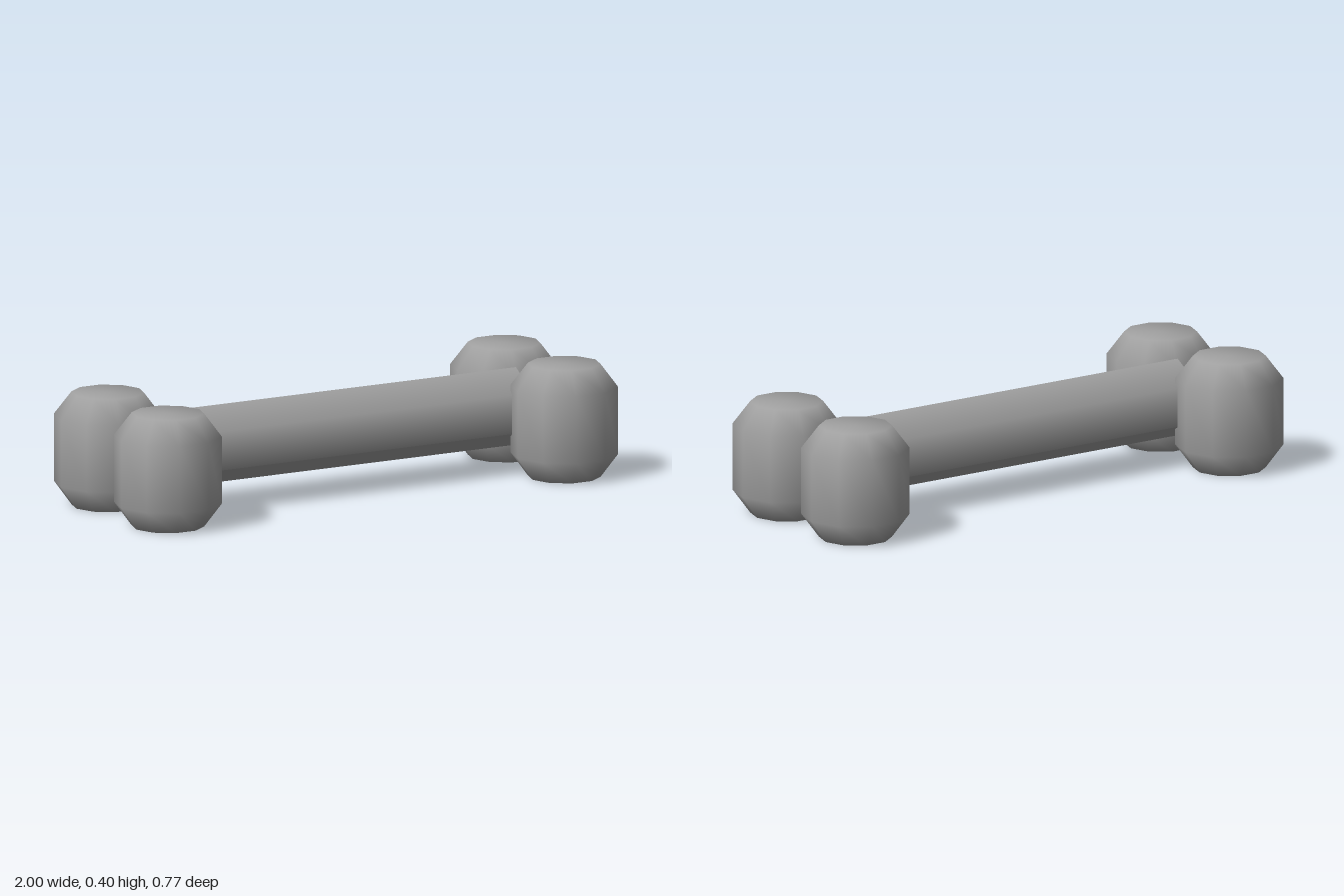
import * as THREE from 'three';

export function createModel() {
  const model = new THREE.Group();
  const grey = new THREE.MeshStandardMaterial({ color: 0xa0a0a0 });
  grey.name = 'bone grey';

  const add = (geometry, name, x, y, z) => {
    const mesh = new THREE.Mesh(geometry, grey);
    mesh.name = name;
    mesh.position.set(x, y, z);
    model.add(mesh);
    return mesh;
  };

  // Hexagonal shaft along x: smooth upper sides, flat underside
  const r = 0.139, half = 0.735, axisY = 0.222, deg = Math.PI / 180;
  const side = (segments, start, sweep) =>
    new THREE.CylinderGeometry(r, r, half * 2, segments, 1, true, start * deg, sweep * deg).rotateZ(Math.PI / 2);
  add(side(4, -30, 240), 'shaftUpper', 0, axisY, 0);
  const under = side(2, 210, 120).toNonIndexed();
  under.computeVertexNormals();
  add(under, 'shaftUnderside', 0, axisY, 0);

  // Ten-sided knob with bevelled, softly shaded ends
  const profile = [[0, 0], [0.128, 0], [0.19, 0.083], [0.19, 0.323], [0.128, 0.404], [0, 0.404]]
    .map(([x, y]) => new THREE.Vector2(x, y));
  const knob = new THREE.LatheGeometry(profile, 10, Math.PI / 2);

  for (const sx of [-1, 1]) {
    // Flat hexagonal end of the shaft
    const cap = new THREE.CircleGeometry(r, 6, Math.PI / 6).rotateY(sx * Math.PI / 2);
    add(cap, sx > 0 ? 'leftShaftEnd' : 'rightShaftEnd', sx * half, axisY, 0);
    // Pair of knobs
    for (const sz of [-1, 1]) {
      const name = (sx > 0 ? 'left' : 'right') + (sz > 0 ? 'Front' : 'Back') + 'Knob';
      add(knob, name, sx * 0.81, 0, sz * 0.205);
    }
  }
  return model;
}
